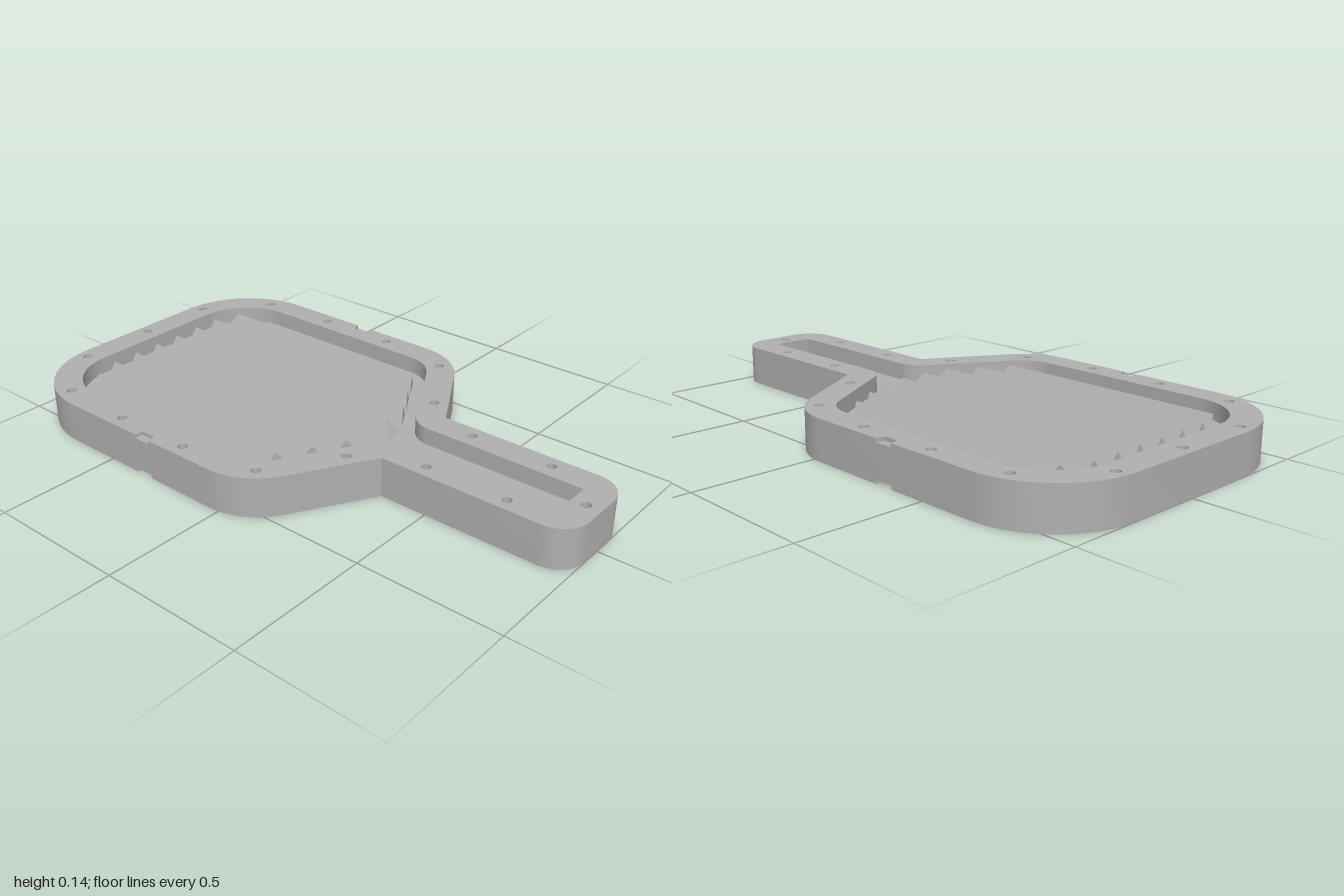
import * as THREE from 'three';
import { toCreasedNormals } from 'three/addons/utils/BufferGeometryUtils.js';

const HEIGHT = 0.14, NOTCH = 0.013, FLOOR = 0.02, RIDGE = 0.057;

// Mirrors a right-hand list of [x, z, radius] corners and rounds each corner
function roundedOutline(half) {
  const pts = [...half, ...half.map(([x, z, r]) => [-x, z, r]).reverse()];
  const out = [];
  pts.forEach(([x, z, r], i) => {
    const p = new THREE.Vector2(x, z);
    if (!r) { out.push(p); return; }
    const prev = pts[(i + pts.length - 1) % pts.length], next = pts[(i + 1) % pts.length];
    const a = new THREE.Vector2(prev[0], prev[1]).sub(p).normalize();
    const b = new THREE.Vector2(next[0], next[1]).sub(p).normalize();
    const half = Math.acos(a.dot(b)) / 2;
    const c = a.clone().add(b).normalize().multiplyScalar(r / Math.sin(half)).add(p);
    const start = a.clone().multiplyScalar(r / Math.tan(half)).add(p).sub(c);
    const end = b.clone().multiplyScalar(r / Math.tan(half)).add(p).sub(c);
    const sweep = Math.atan2(start.cross(end), start.dot(end));
    const n = 14;
    for (let k = 0; k <= n; k++) {
      out.push(start.clone().rotateAround(new THREE.Vector2(), sweep * k / n).add(c));
    }
  });
  return out;
}

// Extrudes a plan shape between two heights
function slab(shape, y0, y1) {
  const g = new THREE.ExtrudeGeometry(shape, { depth: y1 - y0, bevelEnabled: false, curveSegments: 10 });
  g.rotateX(Math.PI / 2).translate(0, y1, 0);
  return toCreasedNormals(g, 0.5);
}

// Limits of the ridge field at a given x
const backEnd = x => {
  const d = Math.max(0, Math.abs(x) - 0.26);
  return -0.69 - Math.sqrt(0.16 * 0.16 - d * d);
};
const frontEnd = x => Math.min(0.215, 0.026 + (0.4 - Math.abs(x)) * 0.577);

// Triangular prism whose ends follow the limits
function ridgeGeometry(x) {
  const w = 0.04, xs = [x - w, x, x + w];
  const slope = Math.abs(x) < 0.06 ? 0.04 : 0;
  const back = xs.map((px, i) => [px, i === 1 ? RIDGE : 0, backEnd(px)]);
  const front = xs.map((px, i) => [px, i === 1 ? RIDGE : 0, frontEnd(px) - (i === 1 ? slope : 0)]);
  const [a, b, c] = back, [d, e, f] = front;
  const tris = [a, d, e, a, e, b, b, e, f, b, f, c, d, f, e, a, b, c];
  const g = new THREE.BufferGeometry();
  g.setAttribute('position', new THREE.Float32BufferAttribute(tris.flat(), 3));
  g.computeVertexNormals();
  return g;
}

export function createModel() {
  const model = new THREE.Group();
  model.name = 'paddleMould';
  const grey = new THREE.MeshStandardMaterial({ color: 0xb0b0b0 });
  grey.name = 'plain grey';
  const add = (parent, name, geometry) => {
    const mesh = new THREE.Mesh(geometry, grey);
    mesh.name = name;
    parent.add(mesh);
    return mesh;
  };

  // Plan outlines: outer body, with side notches, and recess
  const head = [[0.57, -1, 0.31]];
  const notch = [[0.57, -0.372, 0], [0.54, -0.365, 0], [0.54, -0.312, 0], [0.57, -0.305, 0]];
  const tail = [[0.57, 0.1, 0.24], [0.172, 0.33, 0], [0.172, 1, 0.1]];
  const outer = roundedOutline([...head, ...tail]);
  const notched = roundedOutline([...head, ...notch, ...tail]);
  const inner = roundedOutline([
    [0.47, -0.9, 0.21], [0.47, 0.042, 0.14], [0.072, 0.272, 0.1], [0.072, 0.9, 0],
  ]);

  // Bolt holes around the rim
  const bolts = [[0, -0.958], [0, 0.948]];
  for (const [x, z] of [[0.293, -0.955], [0.507, -0.777], [0.523, -0.49], [0.523, -0.195],
    [0.481, 0.083], [0.234, 0.238], [0.126, 0.467], [0.126, 0.759]]) {
    bolts.push([x, z], [-x, z]);
  }
  const rim = outline => {
    const shape = new THREE.Shape(outline);
    shape.holes.push(new THREE.Path(inner));
    for (const [x, z] of bolts) {
      shape.holes.push(new THREE.Path().absarc(x, z, 0.0165, 0, Math.PI * 2, true));
    }
    return shape;
  };

  // Rim: plain middle with a notched layer above and below
  add(model, 'rimMiddle', slab(rim(outer), NOTCH, HEIGHT - NOTCH));
  add(model, 'rimTop', slab(rim(notched), HEIGHT - NOTCH, HEIGHT));
  add(model, 'rimBottom', slab(rim(notched), 0, NOTCH));

  // Thin web dividing the two recesses
  add(model, 'web', slab(new THREE.Shape(inner), (HEIGHT - FLOOR) / 2, (HEIGHT + FLOOR) / 2));

  // Ridges on both faces of the web
  for (const side of ['upper', 'lower']) {
    const ridges = new THREE.Group();
    ridges.name = side + 'Ridges';
    for (let i = 0; i < 8; i++) add(ridges, 'ridge', ridgeGeometry(-0.355 + i * 0.1014));
    ridges.position.y = (HEIGHT + (side === 'upper' ? FLOOR : -FLOOR)) / 2;
    if (side === 'lower') ridges.rotation.z = Math.PI;
    model.add(ridges);
  }
  return model;
}
